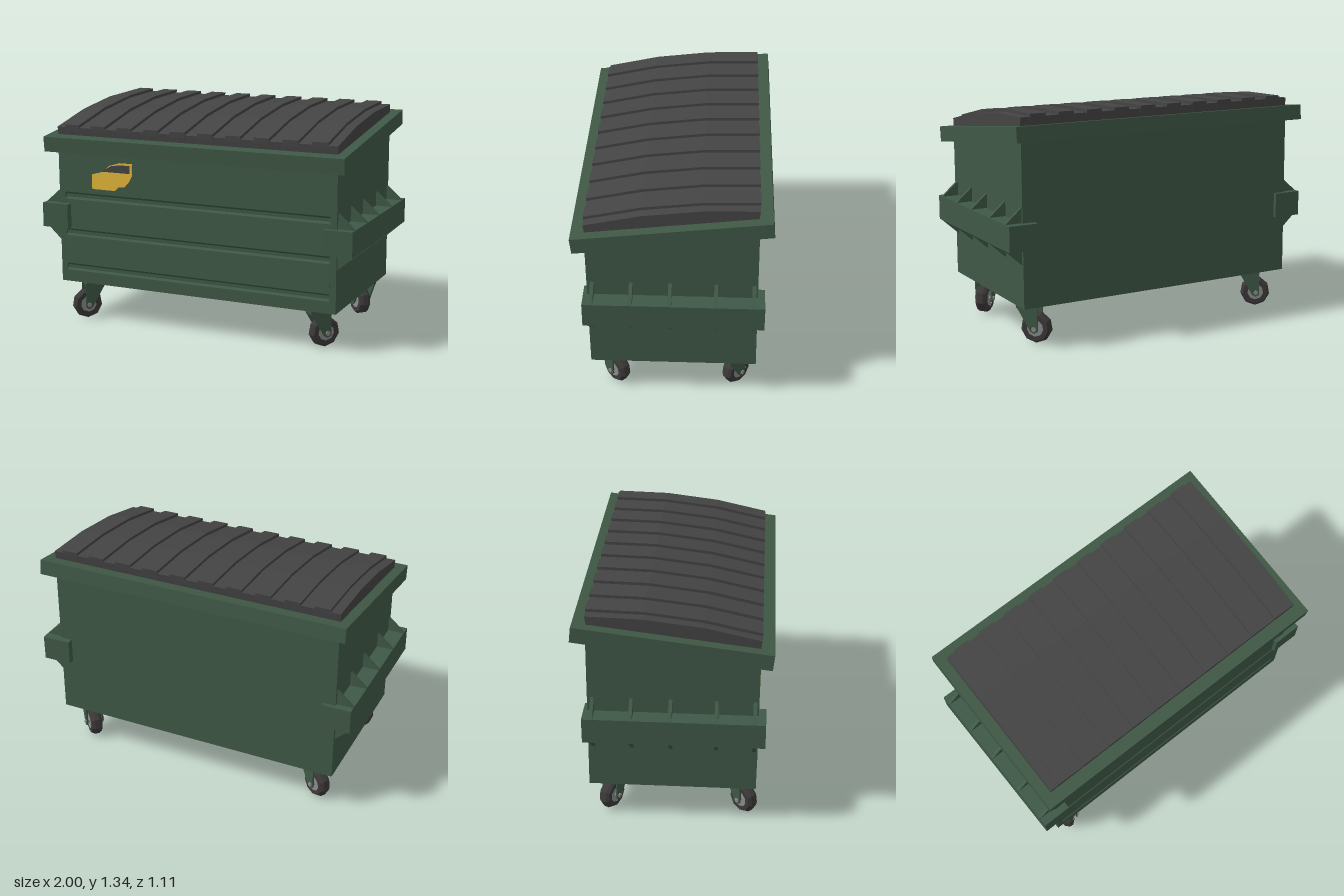
import * as THREE from 'three';

const mat = (color) => new THREE.MeshStandardMaterial({ color, flatShading: true });
const green = mat(0x3f5846);
const lidGrey = mat(0x444444);
const rubber = mat(0x3b3838);
const hubGrey = mat(0x8a8a8a);
const yellow = mat(0xe0b53a);

function add(parent, name, geometry, material) {
  const mesh = new THREE.Mesh(geometry, material);
  mesh.name = name;
  parent.add(mesh);
  return mesh;
}

function box(parent, name, x0, x1, y0, y1, z0, z1, material) {
  const mesh = add(parent, name, new THREE.BoxGeometry(x1 - x0, y1 - y0, z1 - z0), material);
  mesh.position.set((x0 + x1) / 2, (y0 + y1) / 2, (z0 + z1) / 2);
  return mesh;
}

const shapeOf = (pts) => new THREE.Shape(pts.map(([x, y]) => new THREE.Vector2(x, y)));
const plate = (pts, depth) =>
  new THREE.ExtrudeGeometry(shapeOf(pts), { depth, bevelEnabled: false });

// Extrude a side profile of [z, y] points from x0 to x1
function extrudeX(pts, x0, x1) {
  return plate(pts.map(([z, y]) => [-z, y]), x1 - x0).rotateY(Math.PI / 2).translate(x0, 0, 0);
}

// Bin body: the front wall carries three shallow horizontal grooves
function addBody(parent) {
  const rest = [[0.482, 1.12], [-0.475, 1.24], [-0.485, 0.24]];
  const front = [[0.475, 0.24]];
  for (const y of [0.335, 0.555, 0.785]) {
    front.push([0.477, y - 0.022], [0.466, y - 0.01], [0.466, y + 0.01], [0.479, y + 0.022]);
  }
  const body = new THREE.Group();
  body.name = 'body';
  add(body, 'groovedBody', extrudeX([...front, ...rest], -0.86, 0.86), green);
  for (const x of [-0.9, 0.86]) {
    add(body, 'bodyEnd', extrudeX([[0.475, 0.24], ...rest], x, x + 0.04), green);
  }
  parent.add(body);
}

// Curved lid with ten raised ribs
function addLid(parent) {
  const lid = new THREE.Group();
  lid.name = 'lid';
  const curve = [[0.485, 1.208], [0.17, 1.278], [-0.16, 1.318], [-0.475, 1.326]];
  const base = [[-0.467, 1.26], [0.476, 1.14]];
  add(lid, 'lidPanel', extrudeX([...curve, ...base], -0.9, 0.9), lidGrey);
  const raised = curve.map(([z, y]) => [z + Math.sign(z) * 0.003, y + 0.017]);
  for (let i = 0; i < 10; i++) {
    const x = -0.795 + i * 0.1767;
    const foot = [[-0.474, 1.30], [0.486, 1.19]];
    add(lid, 'lidRib', extrudeX([...raised, ...foot], x - 0.048, x + 0.048), lidGrey);
  }
  parent.add(lid);
}

// Side lifting sleeve with wrapped ends and gussets above and below
function addSleeve(parent, name, angle) {
  const sleeve = new THREE.Group();
  sleeve.name = name;
  box(sleeve, 'sleeveBar', 0.89, 1, 0.585, 0.735, -0.52, 0.5, green);
  box(sleeve, 'frontWrap', 0.825, 1, 0.585, 0.735, 0.47, 0.502, green);
  box(sleeve, 'backWrap', 0.825, 1, 0.585, 0.735, -0.52, -0.47, green);
  for (const z of [0.45, 0.232, 0.012, -0.245, -0.458]) {
    const upper = plate([[0.895, 0.735], [1, 0.735], [0.9, 0.822], [0.895, 0.822]], 0.02);
    const lower = plate([[0.895, 0.495], [0.9, 0.495], [1, 0.585], [0.895, 0.585]], 0.02);
    add(sleeve, 'upperGusset', upper, green).position.z = z - 0.01;
    add(sleeve, 'lowerGusset', lower, green).position.z = z - 0.01;
  }
  sleeve.rotation.y = angle;
  parent.add(sleeve);
}

// Swivel caster: local +x is the trailing direction, local z the axle
function addCaster(parent, name, x, z, trailX, trailZ) {
  const caster = new THREE.Group();
  caster.name = name;
  const trail = 0.045;
  box(caster, 'mountPlate', -0.06, 0.06, 0.21, 0.245, -0.055, 0.055, green);
  const arm = [[-0.065, 0.228], [trail - 0.022, 0.075], [trail, 0.062], [trail + 0.022, 0.075], [0.065, 0.228]];
  for (const s of [-1, 1]) {
    add(caster, 'forkArm', plate(arm, 0.01), green).position.z = s * 0.05 - 0.005;
  }
  const tread = [[0.05, -0.034], [0.078, -0.034], [0.091, -0.016], [0.091, 0.016], [0.078, 0.034], [0.05, 0.034]];
  const tyre = new THREE.LatheGeometry(tread.map(([r, h]) => new THREE.Vector2(r, h)), 9);
  const parts = [
    ['tyre', tyre, rubber],
    ['hub', new THREE.CylinderGeometry(0.052, 0.052, 0.062, 9), hubGrey],
    ['axle', new THREE.CylinderGeometry(0.014, 0.014, 0.124, 8), hubGrey],
  ];
  for (const [part, geometry, material] of parts) {
    const mesh = add(caster, part, geometry, material);
    mesh.rotation.x = Math.PI / 2;
    mesh.position.set(trail, 0.09, 0);
  }
  caster.position.set(x, 0, z);
  caster.rotation.y = Math.atan2(-trailZ, trailX);
  parent.add(caster);
}

// Thin warning panel with a dark upper inset on the front wall
function addPanel(parent) {
  const outline = [[-0.667, 0.84], [-0.51, 0.84], [-0.485, 0.865], [-0.445, 0.868], [-0.415, 0.9],
    [-0.393, 0.94], [-0.393, 1.012], [-0.475, 1.012], [-0.545, 0.992], [-0.595, 0.95], [-0.667, 0.93]];
  const inset = [[-0.6, 0.952], [-0.408, 0.952], [-0.408, 1], [-0.475, 1], [-0.535, 0.99]];
  const panel = new THREE.Group();
  panel.name = 'frontPanel';
  add(panel, 'panelBase', plate(outline, 0.008), yellow);
  add(panel, 'panelInset', plate(inset, 0.01), lidGrey);
  panel.position.z = 0.477;
  parent.add(panel);
}

export function createModel() {
  const model = new THREE.Group();
  model.name = 'wheeledBin';
  addBody(model);

  // Sloping rim around the top
  const rim = [[0.545, 1.06], [0.555, 1.152], [-0.545, 1.287], [-0.555, 1.198]];
  add(model, 'rim', extrudeX(rim, -0.96, 0.96), green);

  addLid(model);
  addPanel(model);
  addSleeve(model, 'leftSleeve', 0);
  addSleeve(model, 'rightSleeve', Math.PI);

  addCaster(model, 'frontLeftCaster', 0.75, 0.367, 1, -1);
  addCaster(model, 'frontRightCaster', -0.735, 0.375, -1, 1);
  addCaster(model, 'backLeftCaster', 0.8, -0.34, -1, -1);
  addCaster(model, 'backRightCaster', -0.735, -0.35, -0.87, -0.5);
  return model;
}
